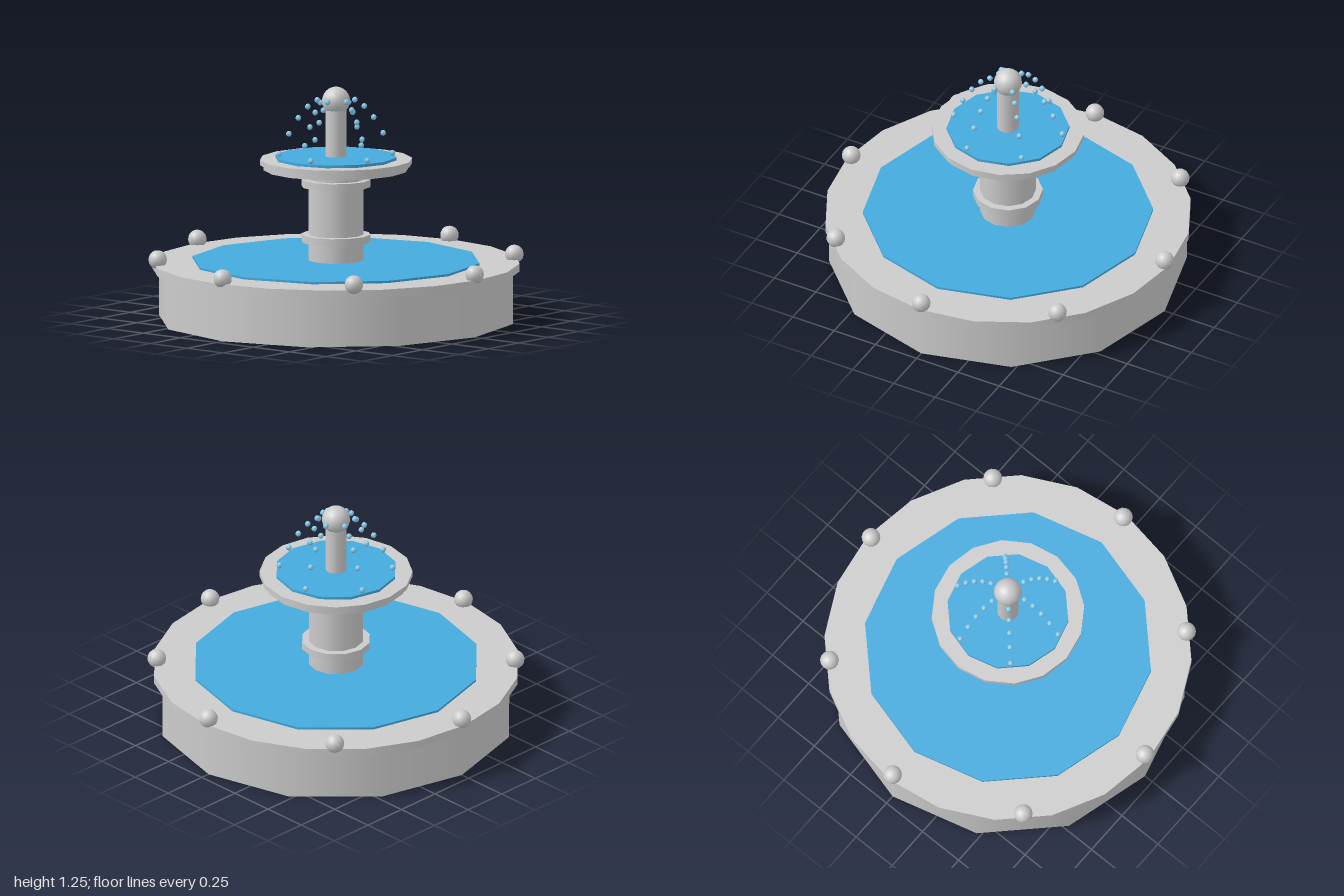
import * as THREE from 'three';

const stone = new THREE.MeshStandardMaterial({ color: 0xcccccc });
const water = new THREE.MeshStandardMaterial({ color: 0x44aadd });
const spray = new THREE.MeshStandardMaterial({ color: 0x88ccee });

export function createModel() {
  const fountain = new THREE.Group();
  fountain.name = 'fountain';

  const add = (name, geometry, material, x, y, z, parent = fountain) => {
    const mesh = new THREE.Mesh(geometry, material);
    mesh.name = name;
    mesh.position.set(x, y, z);
    parent.add(mesh);
    return mesh;
  };
  // Upright drum between two heights
  const drum = (name, radius, y0, y1, sides, material = stone) =>
    add(name, new THREE.CylinderGeometry(radius, radius, y1 - y0, sides), material, 0, (y0 + y1) / 2, 0);

  // Lower basin with its overhanging rim and pool
  drum('basin', 0.95, 0, 0.27, 12);
  drum('basinRim', 0.975, 0.267, 0.31, 20);
  drum('poolWater', 0.77, 0.3, 0.322, 12, water);

  // Column with two bands
  drum('column', 0.148, 0.3, 0.82, 12);
  drum('lowerBand', 0.185, 0.42, 0.46, 12);
  drum('upperBand', 0.185, 0.716, 0.755, 12);

  // Upper bowl, its rim and water
  drum('bowl', 0.385, 0.807, 0.845, 16);
  drum('bowlRim', 0.406, 0.835, 0.863, 16);
  drum('bowlWater', 0.325, 0.855, 0.878, 12, water);

  // Spout and finial
  drum('spout', 0.057, 0.86, 1.17, 12);
  add('finial', new THREE.SphereGeometry(0.075, 16, 12), stone, 0, 1.175, 0);

  // Balls around the basin rim
  const rimBalls = new THREE.Group();
  rimBalls.name = 'rimBalls';
  fountain.add(rimBalls);
  const ball = new THREE.SphereGeometry(0.05, 14, 10);
  for (let i = 0; i < 8; i++) {
    const a = (i * Math.PI) / 4;
    add('rimBall', ball, stone, 0.95 * Math.cos(a), 0.337, 0.95 * Math.sin(a), rimBalls);
  }

  // Six arcs of falling droplets
  const drop = new THREE.SphereGeometry(0.016, 6, 5);
  const heights = [1.18, 1.145, 1.085, 1.0, 0.893];
  for (let i = 0; i < 6; i++) {
    const jet = new THREE.Group();
    jet.name = 'waterJet';
    fountain.add(jet);
    const a = 0.3 + (i * Math.PI) / 3;
    heights.forEach((y, k) => {
      const r = 0.1 + 0.05 * k;
      add('droplet', drop, spray, r * Math.cos(a), y, r * Math.sin(a), jet);
    });
  }
  return fountain;
}
